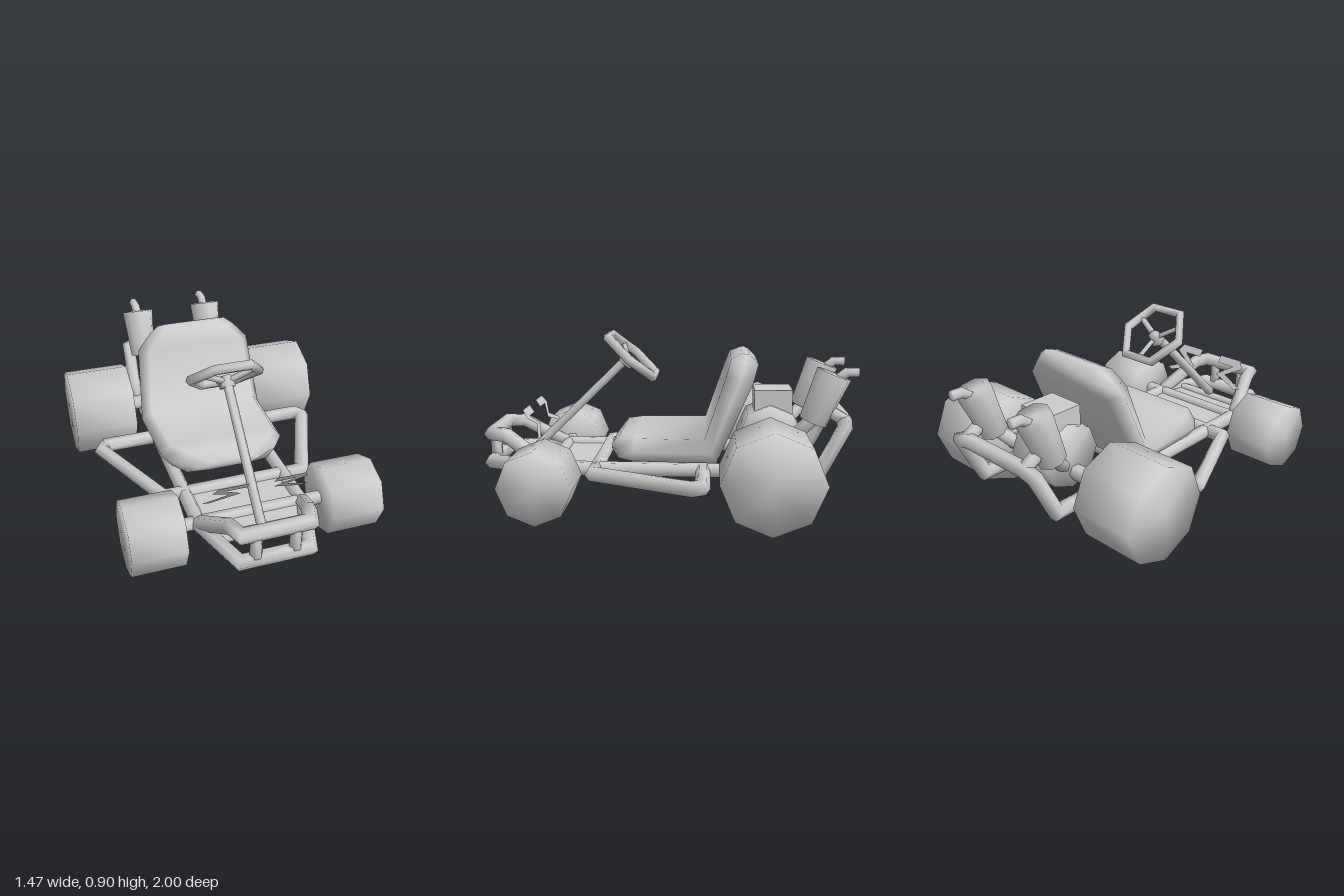
import * as THREE from 'three';
import { mergeVertices } from 'three/addons/utils/BufferGeometryUtils.js';

const V = (x, y, z) => new THREE.Vector3(x, y, z);
const grey = new THREE.MeshStandardMaterial({ color: 0xcccccc, side: THREE.DoubleSide });
grey.name = 'plain grey';

// Share vertices so that shading runs smoothly over every edge
function smooth(g) {
  g.deleteAttribute('normal');
  g.deleteAttribute('uv');
  const m = mergeVertices(g, 1e-4);
  m.computeVertexNormals();
  return m;
}

// Closed skin through rings of equal point count
function loft(rings) {
  const n = rings[0].length, idx = [], last = (rings.length - 1) * n;
  for (let i = 0; i < rings.length - 1; i++) {
    for (let j = 0; j < n; j++) {
      const a = i * n + j, b = i * n + (j + 1) % n;
      idx.push(a, a + n, b + n, a, b + n, b);
    }
  }
  for (let j = 1; j < n - 1; j++) idx.push(0, j, j + 1, last, last + j + 1, last + j);
  const g = new THREE.BufferGeometry().setFromPoints(rings.flat());
  g.setIndex(idx);
  g.computeVertexNormals();
  return g;
}

// Straight pipe runs with mitred corners
function pipe(points, r, sides = 6) {
  const p = points.map(a => V(...a));
  const dir = i => p[i + 1].clone().sub(p[i]).normalize();
  const d0 = dir(0);
  const u = V(0, 1, 0).cross(d0);
  if (u.length() < 0.1) u.set(1, 0, 0);
  u.normalize();
  const v = d0.clone().cross(u);
  let ring = Array.from({ length: sides }, (_, k) => {
    const t = -k / sides * Math.PI * 2;
    return p[0].clone().addScaledVector(u, Math.cos(t) * r).addScaledVector(v, Math.sin(t) * r);
  });
  const rings = [ring];
  for (let i = 1; i < p.length; i++) {
    const d = dir(i - 1);
    const n = i < p.length - 1 ? d.clone().add(dir(i)).normalize() : d;
    ring = ring.map(q => q.clone().addScaledVector(d, p[i].clone().sub(q).dot(n) / d.dot(n)));
    rings.push(ring);
  }
  return loft(rings);
}

const mirrorPath = half => [...half, ...half.slice().reverse().map(([x, y, z]) => [-x, y, z])];

export function createModel() {
  const model = new THREE.Group();
  const add = (name, geo, x = 0, y = 0, z = 0, parent = model) => {
    const m = new THREE.Mesh(geo, grey);
    m.name = name;
    m.position.set(x, y, z);
    parent.add(m);
    return m;
  };
  const R = 0.04;

  // Frame: main rails with nose, raised bumper and rear hoop
  add('mainFrame', pipe(mirrorPath([[0.28, 0.2, -0.7], [0.28, 0.2, 0.65], [0.175, 0.2, 0.957]]), R));
  add('bumper', pipe(mirrorPath([[0.28, 0.21, 0.64], [0.2, 0.355, 0.87], [0.17, 0.358, 0.957]]), R));
  add('rearHoop', pipe(mirrorPath([[0.28, 0.2, -0.65], [0.28, 0.2, -0.81], [0.28, 0.44, -0.93], [0.2, 0.465, -0.94]]), R));
  add('frontCrossbar', pipe([[-0.28, 0.2, 0.37], [0.28, 0.2, 0.37]], R));
  add('pedalCrossbar', pipe([[-0.23, 0.2, 0.765], [0.23, 0.2, 0.765]], 0.03));
  add('seatCrossbar', pipe([[-0.28, 0.2, -0.2], [0.28, 0.2, -0.2]], R));
  add('floorPlate', new THREE.BoxGeometry(0.5, 0.012, 0.4), 0, 0.2, 0.56);
  add('frontAxle', pipe([[-0.42, 0.2, 0.62], [0.42, 0.2, 0.62]], 0.036));
  add('rearAxle', pipe([[-0.42, 0.25, -0.54], [0.42, 0.25, -0.54]], 0.043));

  // Seat: one padded shell; each row is half width, upper z/y, lower z/y
  const rows = [
    [0.17, 0.30, 0.31, 0.30, 0.265],
    [0.28, 0.25, 0.37, 0.26, 0.245],
    [0.345, 0.16, 0.37, 0.17, 0.245],
    [0.36, -0.205, 0.37, -0.27, 0.245],
    [0.33, -0.315, 0.70, -0.455, 0.665],
    [0.25, -0.34, 0.78, -0.485, 0.755],
    [0.2, -0.40, 0.808, -0.44, 0.80],
  ];
  add('seat', loft(rows.map(([w, uz, uy, lz, ly]) => {
    const my = (uy + ly) / 2, mz = (uz + lz) / 2, e = w - 0.05;
    return [V(w, my, mz), V(e, uy, uz), V(-e, uy, uz), V(-w, my, mz), V(-e, ly, lz), V(e, ly, lz)];
  })));

  // Engine: round crankcase with a square cylinder head
  add('crankcase', smooth(new THREE.CylinderGeometry(0.175, 0.175, 0.26, 8).rotateZ(Math.PI / 2)), 0, 0.345, -0.56);
  add('engineHead', new THREE.BoxGeometry(0.21, 0.2, 0.205), 0, 0.5, -0.575);

  // Steering: column, six-sided rim, hub and spokes
  add('steeringColumn', pipe([[0, 0.23, 0.77], [0, 0.745, 0.24]], 0.026));
  const steering = new THREE.Group();
  steering.name = 'steeringWheel';
  steering.position.set(0, 0.772, 0.2);
  steering.rotation.x = -Math.PI * 0.27;
  model.add(steering);
  // local +y runs up the rim, local +z along the column towards the driver
  steering.rotation.set(0.85, 0, 0);
  add('rim', smooth(new THREE.TorusGeometry(0.187, 0.027, 6, 6)), 0, 0, 0, steering);
  add('hub', smooth(new THREE.CylinderGeometry(0.045, 0.03, 0.06, 6).rotateX(Math.PI / 2)), 0, 0, 0.035, steering);
  for (const a of [30, 150, 270]) {
    const t = a * Math.PI / 180;
    add('spoke', pipe([[0, 0, 0.035], [Math.cos(t) * 0.165, Math.sin(t) * 0.165, 0]], 0.017, 4), 0, 0, 0, steering);
  }

  // Paired parts on both sides
  for (const s of [-1, 1]) {
    const side = s > 0 ? 'left' : 'right';
    const m = pts => pts.map(([x, y, z]) => [s * x, y, z]);
    const wheel = (r, w) => smooth(new THREE.CylinderGeometry(r, r, w, 8).rotateZ(Math.PI / 2));
    add(side + 'RearWheel', wheel(0.255, 0.355), s * 0.5575, 0.257, -0.537);
    add(side + 'FrontWheel', wheel(0.19, 0.28), s * 0.52, 0.195, 0.62);

    add(side + 'SideBar', pipe(m([[0.28, 0.2, 0.37], [0.39, 0.2, 0.37], [0.62, 0.2, -0.15], [0.59, 0.2, -0.2], [0.28, 0.2, -0.2]]), R));
    add(side + 'BumperPost', pipe(m([[0.1, 0.2, 0.957], [0.1, 0.358, 0.957]]), 0.032));
    add(side + 'HoopBrace', pipe(m([[0.22, 0.465, -0.94], [0.22, 0.53, -0.83]]), 0.036));

    // Exhaust: header pipe, tapered muffler and bent tip
    add(side + 'ExhaustHeader', pipe(m([[0.08, 0.34, -0.64], [0.19, 0.37, -0.68], [0.22, 0.48, -0.78]]), 0.036));
    const muffler = add(side + 'Muffler', smooth(new THREE.CylinderGeometry(0.095, 0.075, 0.275, 8)), s * 0.22, 0.583, -0.823);
    muffler.rotation.x = -0.38;
    add(side + 'ExhaustTip', pipe(m([[0.22, 0.66, -0.86], [0.22, 0.72, -0.94], [0.22, 0.72, -1]]), 0.027));

    // Pedal: thin zigzag strip leaning forward
    const outline = [[0.07, 0.5], [0.22, 0.5], [0.245, 0.46], [0.15, 0.41], [0.28, 0.36], [0.24, 0.35], [0.085, 0.4], [0.18, 0.46], [0.07, 0.46]];
    const pedal = new THREE.ShapeGeometry(new THREE.Shape(outline.map(([x, y]) => new THREE.Vector2(s * x, y))));
    const pos = pedal.attributes.position;
    for (let i = 0; i < pos.count; i++) pos.setZ(i, 0.77 - (0.5 - pos.getY(i)) * 0.65);
    pedal.computeVertexNormals();
    add(side + 'Pedal', pedal);
  }
  return model;
}
